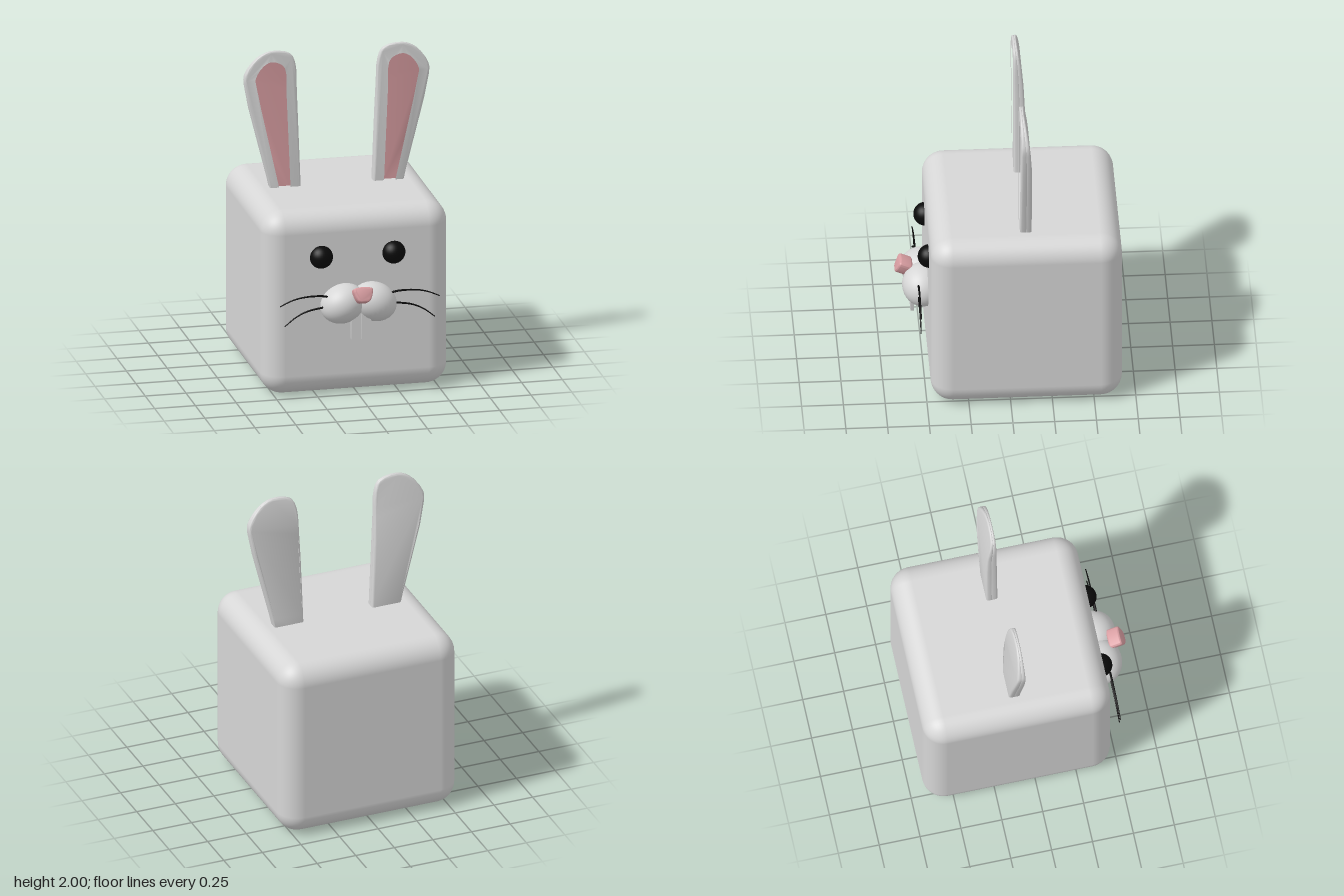
import * as THREE from 'three';
import { toCreasedNormals } from 'three/addons/utils/BufferGeometryUtils.js';
import { RoundedBoxGeometry } from 'three/addons/geometries/RoundedBoxGeometry.js';

const paint = (name, color) => {
  const m = new THREE.MeshStandardMaterial({ color });
  m.name = name;
  return m;
};

// Closed ear contour, open points smoothed towards the tip
function earPoints(base, tip) {
  const curve = new THREE.CatmullRomCurve3(tip.map(([x, y]) => new THREE.Vector3(x, y, 0)), false, 'centripetal');
  const pts = curve.getPoints(24).map(p => new THREE.Vector2(p.x, p.y));
  return [...base.map(([x, y]) => new THREE.Vector2(x, y)), ...pts];
}

export function createModel() {
  const fur = paint('grey fur', 0xd6d6d6);
  const pink = paint('pink skin', 0xd99ea2);
  const black = paint('black', 0x0a0a0a);
  const group = new THREE.Group();
  const add = (name, geo, mat, parent = group) => {
    const mesh = new THREE.Mesh(geo, mat);
    mesh.name = name;
    parent.add(mesh);
    return mesh;
  };

  // Head block
  add('head', new RoundedBoxGeometry(1.14, 1.145, 1.145, 6, 0.13), fur).position.set(0, 0.5725, -0.0975);

  // Ear contours for the model's left side
  const outer = earPoints([[0.4, 1.1], [0.22, 1.1]],
    [[0.224, 1.2], [0.246, 1.75], [0.254, 1.91], [0.285, 1.977], [0.405, 2.0], [0.488, 1.962], [0.56, 1.865], [0.565, 1.80], [0.422, 1.2]]);
  const inner = earPoints([[0.359, 1.1], [0.273, 1.1]],
    [[0.277, 1.2], [0.3, 1.75], [0.306, 1.885], [0.335, 1.925], [0.402, 1.947], [0.46, 1.92], [0.512, 1.838], [0.508, 1.79], [0.381, 1.2]]);
  const front = -0.063;

  // The back of the ear curves forward near the tip
  const taper = geo => {
    const p = geo.attributes.position;
    for (let i = 0; i < p.count; i++) {
      const t = Math.max(0, (p.getY(i) - 1.4) / 0.6);
      p.setZ(i, front + (p.getZ(i) - front) * (1 - 0.65 * Math.min(1, t) ** 3));
    }
    return toCreasedNormals(geo, 0.8);
  };
  const bevel = { bevelEnabled: true, bevelSize: 0.012, bevelOffset: -0.012, bevelThickness: 0.012, bevelSegments: 3 };

  const rim = new THREE.Shape(outer);
  rim.holes.push(new THREE.Path(inner));
  const rimGeo = taper(new THREE.ExtrudeGeometry(rim, { depth: 0.02, ...bevel }).translate(0, 0, front - 0.032));
  const backGeo = taper(new THREE.ExtrudeGeometry(new THREE.Shape(outer), { depth: 0.016, ...bevel }).translate(0, 0, front - 0.057));
  const liningGeo = taper(new THREE.ExtrudeGeometry(new THREE.Shape(inner), { depth: 0.008, bevelEnabled: false })
    .translate(0, 0, front - 0.034));

  // Mirrors a geometry across x and restores the winding
  const mirror = geo => {
    const g = (geo.index ? geo.toNonIndexed() : geo.clone()).scale(-1, 1, 1);
    for (const a of Object.values(g.attributes)) {
      for (let i = 0; i < a.count; i += 3) {
        for (let k = 0; k < a.itemSize; k++) {
          const v = a.getComponent(i + 1, k);
          a.setComponent(i + 1, k, a.getComponent(i + 2, k));
          a.setComponent(i + 2, k, v);
        }
      }
    }
    return g;
  };

  // Tapered whisker along a short curve
  const whisker = pts => {
    const curve = new THREE.CatmullRomCurve3(pts.map(([x, y]) => new THREE.Vector3(x, y, 0.532)));
    const n = 16, r = 6;
    const geo = new THREE.TubeGeometry(curve, n, 0.007, r);
    const p = geo.attributes.position, v = new THREE.Vector3();
    for (let i = 0; i < p.count; i++) {
      const t = Math.floor(i / (r + 1)) / n;
      const c = curve.getPointAt(t);
      v.fromBufferAttribute(p, i).sub(c).multiplyScalar(1 - 0.55 * t).add(c);
      p.setXYZ(i, v.x, v.y, v.z);
    }
    return geo;
  };
  const upper = whisker([[0.17, 0.625], [0.22, 0.64], [0.33, 0.642], [0.41, 0.627], [0.49, 0.593]]);
  const lower = whisker([[0.17, 0.577], [0.22, 0.57], [0.32, 0.552], [0.39, 0.52], [0.46, 0.466]]);

  for (const [side, s] of [['left', 1], ['right', -1]]) {
    const sided = g => (s > 0 ? g : mirror(g));

    const ear = new THREE.Group();
    ear.name = side + 'Ear';
    group.add(ear);
    add('earRim', sided(rimGeo), fur, ear);
    add('earBack', sided(backGeo), fur, ear);
    add('earLining', sided(liningGeo), pink, ear);

    add(side + 'Eye', new THREE.SphereGeometry(0.071, 32, 20), black).position.set(s * 0.222, 0.868, 0.468);

    // Muzzle cheek, leaning up towards the nose
    const cheek = add(side + 'Cheek', new THREE.SphereGeometry(1, 36, 24), fur);
    cheek.scale.set(0.14, 0.117, 0.125);
    cheek.position.set(s * 0.095, 0.577, 0.5);
    cheek.rotation.z = -s * 0.4;

    add(side + 'UpperWhisker', sided(upper), black);
    add(side + 'LowerWhisker', sided(lower), black);

    add(side + 'Tooth', toothGeometry(), fur).position.set(s * 0.031, 0.355, 0.552);
  }

  // Nose: rounded wedge tipped upwards
  const n = new THREE.Shape();
  n.moveTo(-0.045, 0.042);
  n.quadraticCurveTo(0, 0.052, 0.045, 0.042);
  n.quadraticCurveTo(0.064, 0.038, 0.058, 0.015);
  n.quadraticCurveTo(0.045, -0.045, 0.02, -0.046);
  n.lineTo(-0.02, -0.046);
  n.quadraticCurveTo(-0.045, -0.045, -0.058, 0.015);
  n.quadraticCurveTo(-0.064, 0.038, -0.045, 0.042);
  const noseGeo = new THREE.ExtrudeGeometry(n, {
    depth: 0.06, bevelEnabled: true, bevelSize: 0.012, bevelOffset: -0.012, bevelThickness: 0.012, bevelSegments: 4, curveSegments: 8,
  }).translate(0, 0, -0.03);
  const nose = add('nose', toCreasedNormals(noseGeo, 0.9), pink);
  nose.position.set(0, 0.655, 0.612);
  nose.rotation.x = -0.42;

  return group;
}

// Flat tooth with rounded lower corners
function toothGeometry() {
  const w = 0.029, r = 0.018, s = new THREE.Shape();
  s.moveTo(-w, 0.2);
  s.lineTo(-w, r);
  s.quadraticCurveTo(-w, 0, -w + r, 0);
  s.lineTo(w - r, 0);
  s.quadraticCurveTo(w, 0, w, r);
  s.lineTo(w, 0.2);
  return toCreasedNormals(new THREE.ExtrudeGeometry(s, { depth: 0.02, bevelEnabled: false }), 0.7);
}
